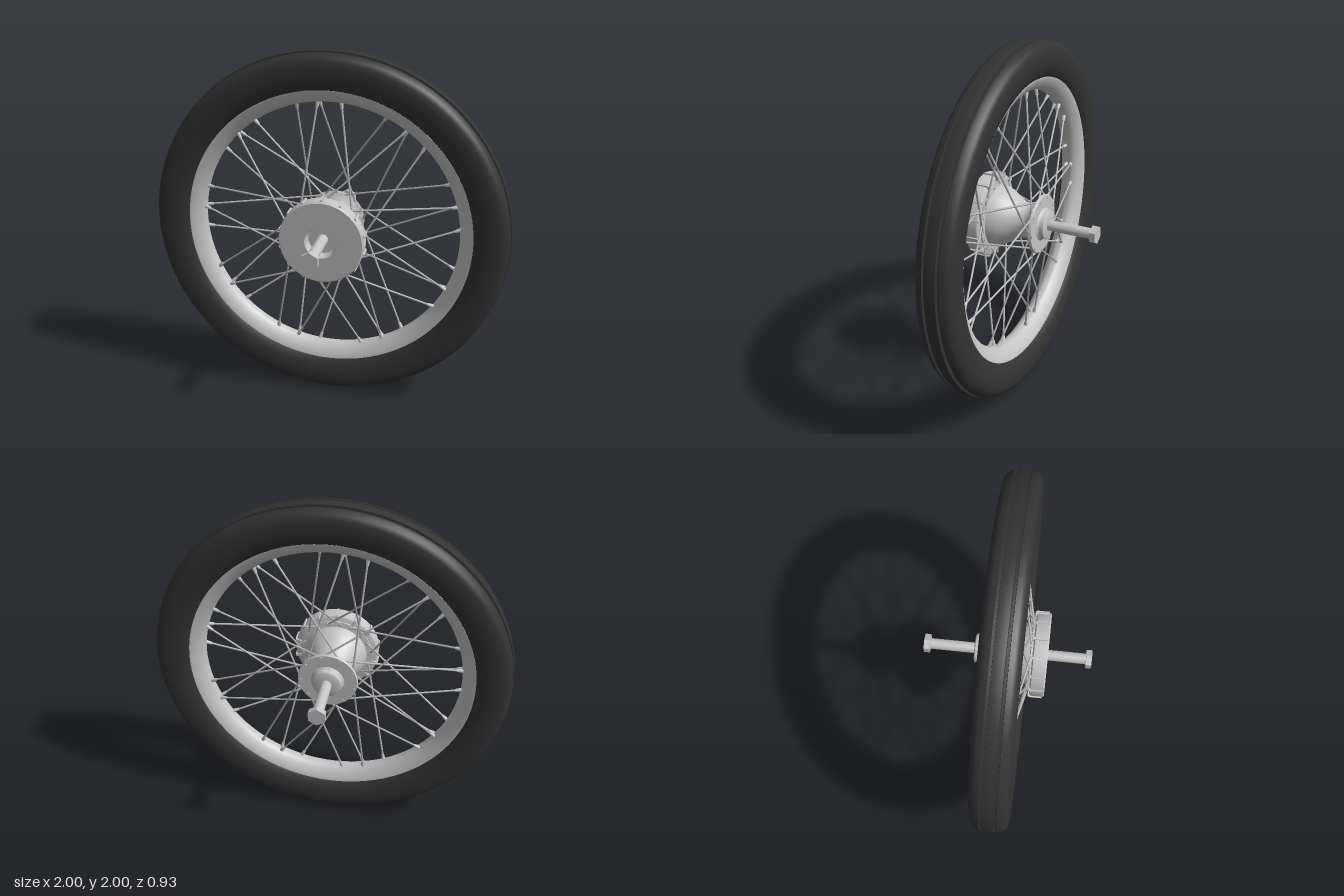
import * as THREE from 'three';
import { toCreasedNormals } from 'three/addons/utils/BufferGeometryUtils.js';

const mat = (name, color) => {
  const m = new THREE.MeshStandardMaterial({ color });
  m.name = name;
  return m;
};

export function createModel() {
  const model = new THREE.Group();
  const wheel = new THREE.Group();
  wheel.name = 'wheel';
  wheel.position.y = 1;
  model.add(wheel);

  const rubber = mat('black rubber', 0x333333);
  const metal = mat('light metal', 0xc4c4c4);
  const spokeMetal = mat('spoke metal', 0xb4b4b4);

  const add = (name, geometry, material, parent = wheel) => {
    const mesh = new THREE.Mesh(geometry, material);
    mesh.name = name;
    parent.add(mesh);
    return mesh;
  };

  // Turned part about the z axis; points are [radius, z], rising z on the outside
  const turned = (name, points, material, segments = 64, crease = 0.6) => {
    const g = new THREE.LatheGeometry(points.map(([r, z]) => new THREE.Vector2(r, z)), segments);
    g.rotateX(Math.PI / 2);
    return add(name, toCreasedNormals(g, crease), material);
  };
  const mirrored = (half) => [...half.map(([r, z]) => [r, -z]), ...half.slice().reverse()];

  // Tyre: rounded sides, two narrow tread grooves
  turned('tyre', mirrored([
    [0.795, 0.068], [0.81, 0.082], [0.84, 0.097], [0.88, 0.105], [0.925, 0.105], [0.955, 0.1],
    [0.976, 0.087], [0.988, 0.07], [0.993, 0.047], [0.978, 0.045], [0.978, 0.031], [0.998, 0.029], [1, 0.012],
  ]), rubber, 128);

  // Rim: shallow channel facing the hub, closed outside by the tyre bed
  const channel = [[0.80, 0.074], [0.79, 0.072], [0.765, 0.058], [0.742, 0.042], [0.728, 0.024], [0.722, 0.008]];
  turned('rim', [
    ...channel, ...channel.slice().reverse().map(([r, z]) => [r, -z]), [0.80, 0.074],
  ], metal, 128);

  // Hub shell: dome behind the drum, waist, then flare to the rear flange
  turned('hubShell', [
    [0.03, -0.145], [0.162, -0.145], [0.165, -0.14], [0.165, -0.128], [0.155, -0.122],
    [0.12, -0.105], [0.1, -0.085], [0.095, -0.06], [0.105, -0.02], [0.13, 0.025],
    [0.152, 0.06], [0.168, 0.095], [0.175, 0.125], [0.205, 0.13], [0.205, 0.145],
  ], metal);

  // Brake drum with a recessed centre
  turned('drum', [
    [0.15, 0.14], [0.222, 0.14], [0.233, 0.147], [0.235, 0.155], [0.235, 0.216], [0.228, 0.223],
    [0.09, 0.223], [0.088, 0.22], [0.08, 0.17], [0.02, 0.17],
  ], metal);

  // Cooling ribs around the drum
  const ribs = new THREE.Group();
  ribs.name = 'drumRibs';
  wheel.add(ribs);
  for (let i = 0; i < 14; i++) {
    const arm = new THREE.Group();
    arm.rotation.z = ((i + 0.5) / 14) * Math.PI * 2;
    ribs.add(arm);
    add('rib', new THREE.BoxGeometry(0.02, 0.012, 0.07), metal, arm).position.set(0.233, 0, 0.176);
    add('ribFoot', new THREE.BoxGeometry(0.05, 0.012, 0.012), metal, arm).position.set(0.215, 0, 0.139);
  }

  // Rear bearing cap
  turned('rearCap', [
    [0.02, -0.183], [0.072, -0.183], [0.08, -0.178], [0.083, -0.155], [0.095, -0.143], [0.095, -0.135],
  ], metal);

  // Axle with a hexagonal head on each end
  const axle = add('axle', new THREE.CylinderGeometry(0.03, 0.03, 0.88, 32), metal);
  axle.rotation.x = Math.PI / 2;
  for (const side of [1, -1]) {
    const hex = new THREE.CylinderGeometry(0.052, 0.052, 0.032, 6).toNonIndexed();
    hex.computeVertexNormals();
    hex.rotateX(Math.PI / 2);
    add(side > 0 ? 'frontAxleNut' : 'rearAxleNut', hex, metal).position.z = side * 0.45;
  }

  // Spokes: nine groups of four, laced across both flanges
  const spokes = new THREE.Group();
  spokes.name = 'spokes';
  wheel.add(spokes);
  const rod = (name, a, b, r0, r1, material, sides) => {
    const dir = b.clone().sub(a);
    const m = add(name, new THREE.CylinderGeometry(r1, r0, dir.length(), sides), material, spokes);
    m.position.copy(a).add(b).multiplyScalar(0.5);
    m.quaternion.setFromUnitVectors(new THREE.Vector3(0, 1, 0), dir.normalize());
  };
  const polar = (r, degrees, z) => {
    const t = THREE.MathUtils.degToRad(degrees);
    return new THREE.Vector3(r * Math.cos(t), r * Math.sin(t), z);
  };
  // Rim angle, hub angle offset, flange side
  const lacing = [[5, -50, 1], [15, 42, 1], [15, -58, -1], [25, 50, -1]];
  for (let k = 0; k < 9; k++) {
    for (const [angle, turn, side] of lacing) {
      const rimAngle = angle + k * 40;
      const hub = polar(side > 0 ? 0.19 : 0.15, rimAngle + turn, side * 0.132);
      const end = polar(0.73, rimAngle, side * 0.012);
      rod('spoke', hub, end, 0.0055, 0.0055, spokeMetal, 8);
      const neck = end.clone().lerp(hub, 0.06);
      rod('nipple', neck, end, 0.008, 0.012, metal, 10);
      rod('spokeHead', hub.clone().setZ(side * 0.122), hub.clone().setZ(side * 0.15), 0.009, 0.009, metal, 8);
    }
  }
  return model;
}
